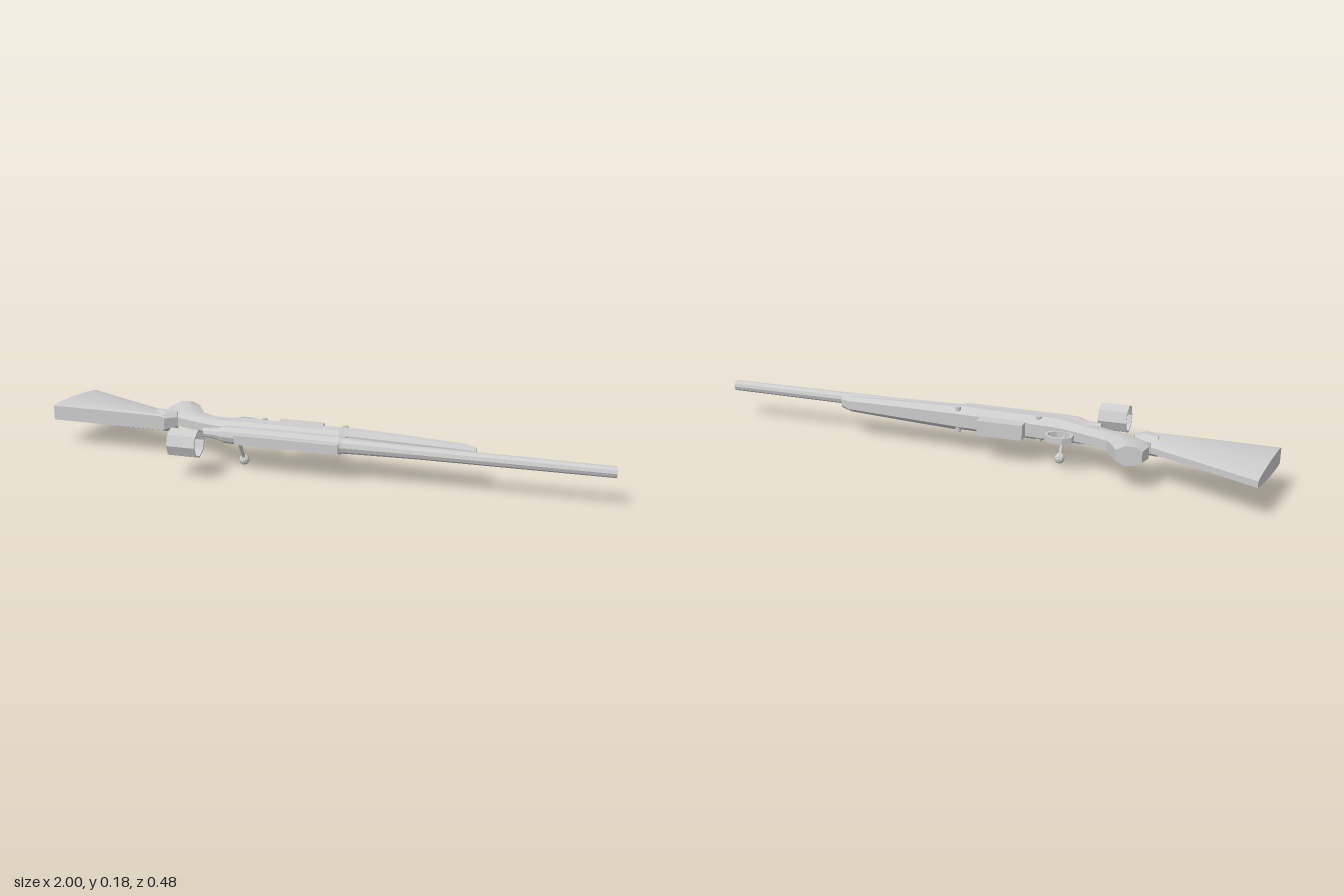
import * as THREE from 'three';
import { toCreasedNormals } from 'three/addons/utils/BufferGeometryUtils.js';

const Y = 0.127;      // middle plane; the rifle lies on its side, its top towards +z
const BORE_Z = 0.073; // barrel axis
const mat = new THREE.MeshStandardMaterial({ color: 0xcccccc });
const flat = new THREE.MeshStandardMaterial({ color: 0xcccccc, flatShading: true });

// Loft: stations are [xTop, zTop, xBottom, zBottom, halfWidth]; profile is [t, width factor]
function loft(stations, profile) {
  const ring = [...profile, ...profile.slice().reverse().map(([t, w]) => [t, -w])];
  const n = ring.length, pos = [], idx = [];
  for (const [x0, z0, x1, z1, hw] of stations) {
    for (const [t, w] of ring) pos.push(x0 + (x1 - x0) * t, Y + w * hw, z0 + (z1 - z0) * t);
  }
  for (let i = 0; i < stations.length - 1; i++) {
    for (let j = 0; j < n; j++) {
      const a = i * n + j, b = i * n + (j + 1) % n;
      idx.push(a, a + n, b, b, a + n, b + n);
    }
  }
  const e = (stations.length - 1) * n;
  for (let k = 1; k < n - 1; k++) idx.push(0, k, k + 1, e, e + k + 1, e + k);
  const g = new THREE.BufferGeometry();
  g.setAttribute('position', new THREE.Float32BufferAttribute(pos, 3));
  g.setIndex(idx);
  return toCreasedNormals(g, 0.45);
}

// Turned part along x from [radius, x] points
function turned(points, sides) {
  const g = new THREE.LatheGeometry(points.map(([r, x]) => new THREE.Vector2(r, x)), sides);
  return g.rotateZ(-Math.PI / 2);
}

export function createModel() {
  const group = new THREE.Group();
  const add = (name, geo, x = 0, y = 0, z = 0, m = flat) => {
    const mesh = new THREE.Mesh(geo, m);
    mesh.name = name;
    mesh.position.set(x, y, z);
    group.add(mesh);
    return mesh;
  };

  // Grip, wrist and fore-end in one piece
  const octagon = [[0, 0.55], [0.27, 0.95], [0.65, 1], [1, 0.55]];
  add('stock', loft([
    [-0.585, -0.142, -0.5, -0.152, 0.034],
    [-0.597, -0.095, -0.475, -0.11, 0.037],
    [-0.57, -0.035, -0.455, -0.08, 0.031],
    [-0.51, 0.0, -0.4, -0.055, 0.028],
    [-0.41, 0.035, -0.34, -0.037, 0.031],
    [-0.33, 0.06, -0.28, -0.03, 0.038],
    [-0.25, 0.07, -0.25, -0.03, 0.042],
    [0.08, 0.067, 0.08, -0.017, 0.043],
    [0.11, 0.042, 0.11, -0.015, 0.042],
    [0.3, 0.042, 0.3, -0.005, 0.036],
    [0.49, 0.042, 0.51, 0.005, 0.028],
    [0.545, 0.038, 0.545, 0.022, 0.02],
  ], octagon), 0, 0, 0, mat);

  // Butt, tapering in width towards its lower edge
  add('butt', loft([
    [-1, 0.02, -0.96, -0.243, 0.031],
    [-0.8, 0.022, -0.8, -0.168, 0.031],
    [-0.57, 0.025, -0.6, -0.075, 0.03],
  ], [[0, 0.85], [0.1, 1], [0.5, 0.9], [0.85, 0.6], [1, 0.35]]), 0, 0, 0, mat);

  // Collar joining butt and grip
  add('collar', loft([
    [-0.615, -0.01, -0.615, -0.052, 0.034],
    [-0.565, 0.03, -0.58, -0.055, 0.037],
    [-0.53, -0.005, -0.54, -0.045, 0.031],
  ], octagon), 0, 0, 0, mat);

  // Barrel with an open bore
  add('barrel', turned([
    [0.028, 0.08], [0.026, 0.14], [0.022, 0.35], [0.019, 1], [0.011, 1], [0.011, 0.9], [0, 0.9],
  ], 10), 0, Y, BORE_Z);

  // Receiver with the tapering bolt end behind it
  add('receiver', turned([
    [0, -0.4], [0.016, -0.4], [0.02, -0.35], [0.03, -0.32], [0.032, -0.27],
    [0.032, 0.09], [0.028, 0.1], [0, 0.1],
  ], 10), 0, Y, BORE_Z);

  // Sight rail
  add('rail', new THREE.BoxGeometry(0.365, 0.033, 0.016), -0.088, Y, 0.114);

  // Rear ocular ring, separate above the receiver
  add('sightRing', turned([
    [0.044, -0.05], [0.05, -0.05], [0.05, -0.022], [0.05, 0.05], [0.044, 0.05], [0.044, -0.05],
  ], 8), -0.42, Y, 0.19);

  // Bolt handle and knob
  const from = new THREE.Vector3(-0.27, 0.105, 0.072), to = new THREE.Vector3(-0.27, 0.02, 0.021);
  const dir = to.clone().sub(from);
  const handle = add('boltHandle', new THREE.CylinderGeometry(0.0055, 0.008, dir.length(), 8));
  handle.position.copy(from).add(to).multiplyScalar(0.5);
  handle.quaternion.setFromUnitVectors(new THREE.Vector3(0, 1, 0), dir.clone().normalize());
  const knob = add('boltKnob', new THREE.SphereGeometry(0.0185, 8, 6), to.x, to.y, to.z);
  knob.quaternion.copy(handle.quaternion);

  // Trigger guard: eight-sided hoop
  const hoop = (r, s) => Array.from({ length: 8 }, (_, i) => {
    const a = (i + 0.5) * Math.PI / 4;
    return new THREE.Vector2(Math.cos(a) * r * 1.08, Math.sin(a) * r * s);
  });
  const guard = new THREE.Shape(hoop(0.047, 0.8));
  guard.holes.push(new THREE.Path(hoop(0.038, 0.75)));
  const guardGeo = new THREE.ExtrudeGeometry(guard, { depth: 0.022, bevelEnabled: false });
  add('triggerGuard', guardGeo.translate(0, 0, -0.011).rotateX(Math.PI / 2), -0.288, Y, -0.061);

  // Trigger
  const curve = new THREE.QuadraticBezierCurve3(
    new THREE.Vector3(-0.3, Y, -0.03), new THREE.Vector3(-0.31, Y, -0.058), new THREE.Vector3(-0.293, Y, -0.08));
  add('trigger', new THREE.TubeGeometry(curve, 5, 0.005, 6));

  // Magazine
  add('magazine', new THREE.BoxGeometry(0.16, 0.053, 0.06), -0.08, Y, -0.035);

  // Cross pins through the stock
  for (const x of [-0.2, 0.09]) add('crossPin', new THREE.CylinderGeometry(0.01, 0.01, 0.09, 8), x, Y, 0);

  return group;
}
